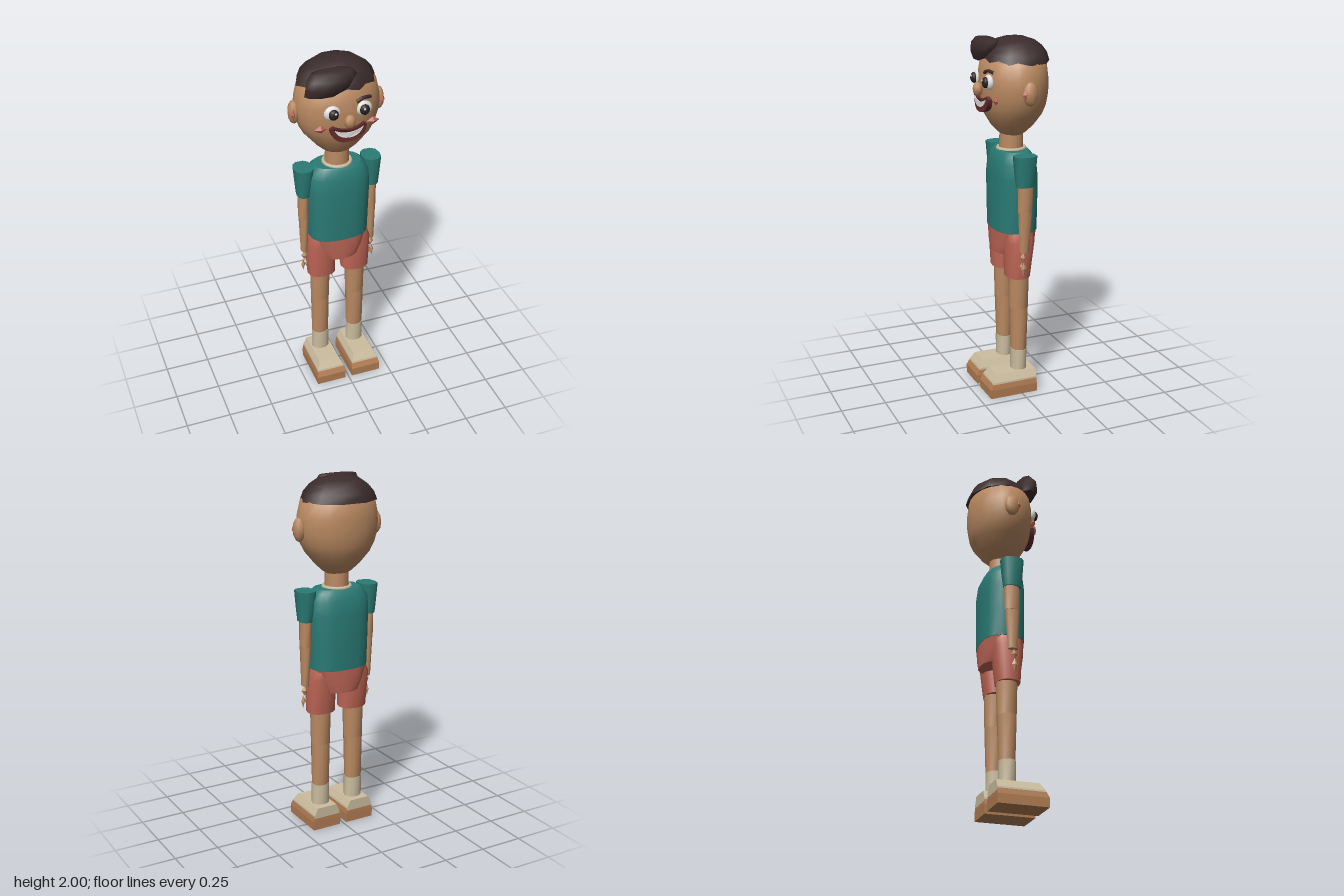
import * as THREE from 'three';

const mat = (name, color) => {
  const m = new THREE.MeshStandardMaterial({ color });
  m.name = name;
  return m;
};

// Stacked closed rings [y, cx, cz, rx, rz]; exp > 2 squares the section off
function loft(rings, { n = 12, exp = 2, phase = 0, flat = false } = {}) {
  const pos = [], idx = [];
  const pow = v => Math.sign(v) * Math.abs(v) ** (2 / exp);
  const addRing = ([y, cx, cz, rx, rz]) => {
    const start = pos.length / 3;
    for (let j = 0; j < n; j++) {
      const a = phase + j / n * Math.PI * 2;
      pos.push(cx + rx * pow(Math.cos(a)), y, cz + rz * pow(Math.sin(a)));
    }
    return start;
  };
  const starts = rings.map(addRing);
  for (let i = 0; i + 1 < rings.length; i++) {
    for (let j = 0; j < n; j++) {
      const k = (j + 1) % n, lo = starts[i], hi = starts[i + 1];
      idx.push(lo + k, lo + j, hi + j, lo + k, hi + j, hi + k);
    }
  }
  // Caps with their own vertices keep the end edges sharp
  [rings[0], rings[rings.length - 1]].forEach((r, end) => {
    const s = addRing(r), c = pos.length / 3;
    pos.push(r[1], r[0], r[2]);
    for (let j = 0; j < n; j++) {
      const k = (j + 1) % n;
      if (end) idx.push(c, s + k, s + j);
      else idx.push(c, s + j, s + k);
    }
  });
  let g = new THREE.BufferGeometry();
  g.setAttribute('position', new THREE.Float32BufferAttribute(pos, 3));
  g.setIndex(idx);
  if (flat) g = g.toNonIndexed();
  g.computeVertexNormals();
  return g;
}

const ball = (rx, ry, rz, w = 12, h = 8) => new THREE.SphereGeometry(1, w, h).scale(rx, ry, rz);
const gem = (rx, ry, rz) => new THREE.OctahedronGeometry(1).scale(rx, ry, rz);

// Outline extruded towards the front and curved back around the face
function facePlate(draw, depth) {
  const shape = new THREE.Shape();
  draw(shape);
  const g = new THREE.ExtrudeGeometry(shape, { depth, bevelEnabled: false, curveSegments: 10 });
  const p = g.attributes.position;
  for (let i = 0; i < p.count; i++) p.setZ(i, p.getZ(i) - 1.2 * p.getX(i) ** 2);
  g.computeVertexNormals();
  return g;
}

export function createModel() {
  const root = new THREE.Group();
  root.name = 'boy';
  const skin = mat('skin', 0xba8a62);
  const teal = mat('teal shirt', 0x2a7b75);
  const coral = mat('coral', 0xbd6555);
  const hair = mat('dark hair', 0x3b2b2c);
  const cream = mat('cream', 0xcbbd9f);
  const leather = mat('sole brown', 0xb17c52);
  const lips = mat('dark red', 0x622a2a);
  const white = mat('white', 0xe2e2e0);
  const iris = mat('dark iris', 0x2c2222);

  const add = (name, geo, material, x = 0, y = 0, z = 0) => {
    const m = new THREE.Mesh(geo, material);
    m.name = name;
    m.position.set(x, y, z);
    root.add(m);
    return m;
  };

  // Head and neck
  add('head', loft([
    [1.47, 0, -0.015, 0.06, 0.055], [1.485, 0, -0.015, 0.085, 0.075],
    [1.525, 0, -0.017, 0.127, 0.115], [1.59, 0, -0.02, 0.183, 0.155],
    [1.64, 0, -0.02, 0.21, 0.173], [1.69, 0, -0.02, 0.225, 0.181],
    [1.74, 0, -0.02, 0.231, 0.185], [1.79, 0, -0.02, 0.228, 0.184],
    [1.87, 0, -0.022, 0.21, 0.174], [1.92, 0, -0.025, 0.15, 0.13],
  ], { n: 20 }), skin);
  add('neck', loft([[1.37, 0, -0.012, 0.067, 0.067], [1.5, 0, -0.012, 0.064, 0.064]]), skin);

  // Hair cap and swept quiff
  add('hairCap', loft([
    [1.868, 0, -0.032, 0.215, 0.182], [1.912, 0, -0.032, 0.197, 0.17],
    [1.95, 0, -0.032, 0.163, 0.142], [1.978, 0, -0.032, 0.12, 0.105],
    [1.994, 0, -0.032, 0.065, 0.058], [2.0, 0, -0.032, 0.01, 0.01],
  ], { n: 10 }), hair);
  add('quiff', loft([
    [1.866, -0.113, 0.1, 0.102, 0.05], [1.91, -0.09, 0.11, 0.122, 0.063],
    [1.955, -0.072, 0.11, 0.133, 0.062], [1.982, -0.07, 0.1, 0.115, 0.045],
    [1.988, -0.08, 0.09, 0.06, 0.02],
  ], { n: 10 }), hair);

  // Face
  add('nose', ball(0.032, 0.038, 0.028, 8, 6), skin, 0, 1.728, 0.181);
  add('mouth', facePlate(s => {
    s.moveTo(-0.1, 1.685);
    s.lineTo(-0.083, 1.7);
    s.quadraticCurveTo(0, 1.655, 0.083, 1.7);
    s.lineTo(0.1, 1.685);
    s.quadraticCurveTo(0.09, 1.606, 0, 1.606);
    s.quadraticCurveTo(-0.09, 1.606, -0.1, 1.685);
  }, 0.03), lips, 0, 0, 0.144);
  add('teeth', facePlate(s => {
    s.moveTo(-0.078, 1.681);
    s.quadraticCurveTo(0, 1.645, 0.078, 1.681);
    s.quadraticCurveTo(0.06, 1.634, 0, 1.634);
    s.quadraticCurveTo(-0.06, 1.634, -0.078, 1.681);
  }, 0.005), white, 0, 0, 0.172);
  add('eyebrow', new THREE.TubeGeometry(new THREE.CatmullRomCurve3([
    new THREE.Vector3(0.042, 1.82, 0.158), new THREE.Vector3(0.08, 1.836, 0.155),
    new THREE.Vector3(0.128, 1.828, 0.138),
  ]), 8, 0.009, 6), hair);

  // Torso, collar and pelvis
  add('shirt', loft([
    [0.945, 0, -0.015, 0.168, 0.12], [1.1, 0, -0.015, 0.173, 0.122],
    [1.25, 0, -0.015, 0.178, 0.122], [1.33, 0, -0.015, 0.175, 0.112],
    [1.375, 0, -0.013, 0.15, 0.094], [1.392, 0, -0.012, 0.13, 0.08],
  ], { n: 20, exp: 2.6 }), teal);
  add('collar', new THREE.TorusGeometry(0.074, 0.011, 6, 16).rotateX(Math.PI / 2), cream, 0, 1.393, -0.012);
  add('pelvis', loft([
    [0.812, 0, -0.015, 0.105, 0.115], [0.87, 0, -0.015, 0.14, 0.118],
    [0.955, 0, -0.015, 0.166, 0.118],
  ], { n: 16, exp: 2.6 }), coral);

  for (const s of [1, -1]) {
    const side = s > 0 ? 'left' : 'right';
    const put = (name, geo, material, x, y, z) => add(side + name, geo, material, s * x, y, z);
    const limb = (name, rings, material, opt) =>
      add(side + name, loft(rings.map(([y, cx, ...r]) => [y, s * cx, ...r]), opt), material);

    // Ears, eyes and cheeks
    put('Ear', ball(0.031, 0.065, 0.043, 8, 6), skin, 0.235, 1.725, -0.022);
    put('InnerEar', gem(0.014, 0.032, 0.018), coral, 0.246, 1.725, 0.01);
    put('Eye', ball(0.046, 0.041, 0.02), white, 0.085, 1.775, 0.15);
    put('Iris', ball(0.027, 0.029, 0.018), iris, 0.084, 1.775, 0.17);
    put('EyeGlint', ball(0.007, 0.007, 0.004, 6, 4), white, 0.078, 1.786, 0.187);
    put('Cheek', gem(0.036, 0.023, 0.014), coral, 0.143, 1.685, 0.136);

    // Sleeve and arm
    limb('Sleeve', [[1.22, 0.197, -0.01, 0.035, 0.05], [1.3, 0.194, -0.01, 0.046, 0.058],
      [1.39, 0.194, -0.01, 0.053, 0.065]], teal, { n: 10, exp: 2.5 });
    limb('UpperArm', [[1.08, 0.197, -0.011, 0.029, 0.042], [1.25, 0.196, -0.013, 0.03, 0.046]], skin, { n: 8 });
    limb('Forearm', [[0.85, 0.198, -0.007, 0.019, 0.028], [1.1, 0.196, -0.011, 0.029, 0.042]], skin, { n: 8 });

    // Hand made of small faceted pieces
    put('Palm', gem(0.021, 0.032, 0.018), skin, 0.197, 0.82, 0);
    put('Finger', gem(0.011, 0.04, 0.018), skin, 0.207, 0.757, 0);
    put('Thumb', gem(0.01, 0.025, 0.012), skin, 0.189, 0.765, 0.006);

    // Shorts leg, leg and sock
    limb('ShortsLeg', [[0.685, 0.1, -0.005, 0.08, 0.066], [0.89, 0.104, -0.012, 0.084, 0.085],
      [0.945, 0.1, -0.012, 0.066, 0.08]], coral, { n: 12, exp: 2.4 });
    limb('Thigh', [[0.5, 0.106, -0.012, 0.054, 0.053], [0.75, 0.104, -0.012, 0.06, 0.06]], skin, { n: 10 });
    limb('Shin', [[0.24, 0.107, -0.012, 0.05, 0.044], [0.5, 0.106, -0.012, 0.054, 0.053]], skin, { n: 10 });
    limb('Sock', [[0.11, 0.107, -0.011, 0.052, 0.045], [0.25, 0.107, -0.011, 0.052, 0.046]], cream, { n: 10 });

    // Shoe: four-sided sole and upper; q turns half sizes into corner radii
    const q = Math.SQRT2, box = { n: 4, phase: Math.PI / 4, flat: true };
    limb('ShoeSole', [[0, 0.107, 0.05, 0.086 * q, 0.14 * q], [0.05, 0.107, 0.05, 0.087 * q, 0.14 * q],
      [0.08, 0.107, 0.043, 0.081 * q, 0.132 * q]], leather, box);
    limb('ShoeUpper', [[0.07, 0.107, 0.043, 0.082 * q, 0.133 * q], [0.09, 0.107, 0.04, 0.079 * q, 0.13 * q],
      [0.13, 0.107, 0.028, 0.06 * q, 0.118 * q]], cream, box);
  }
  return root;
}
